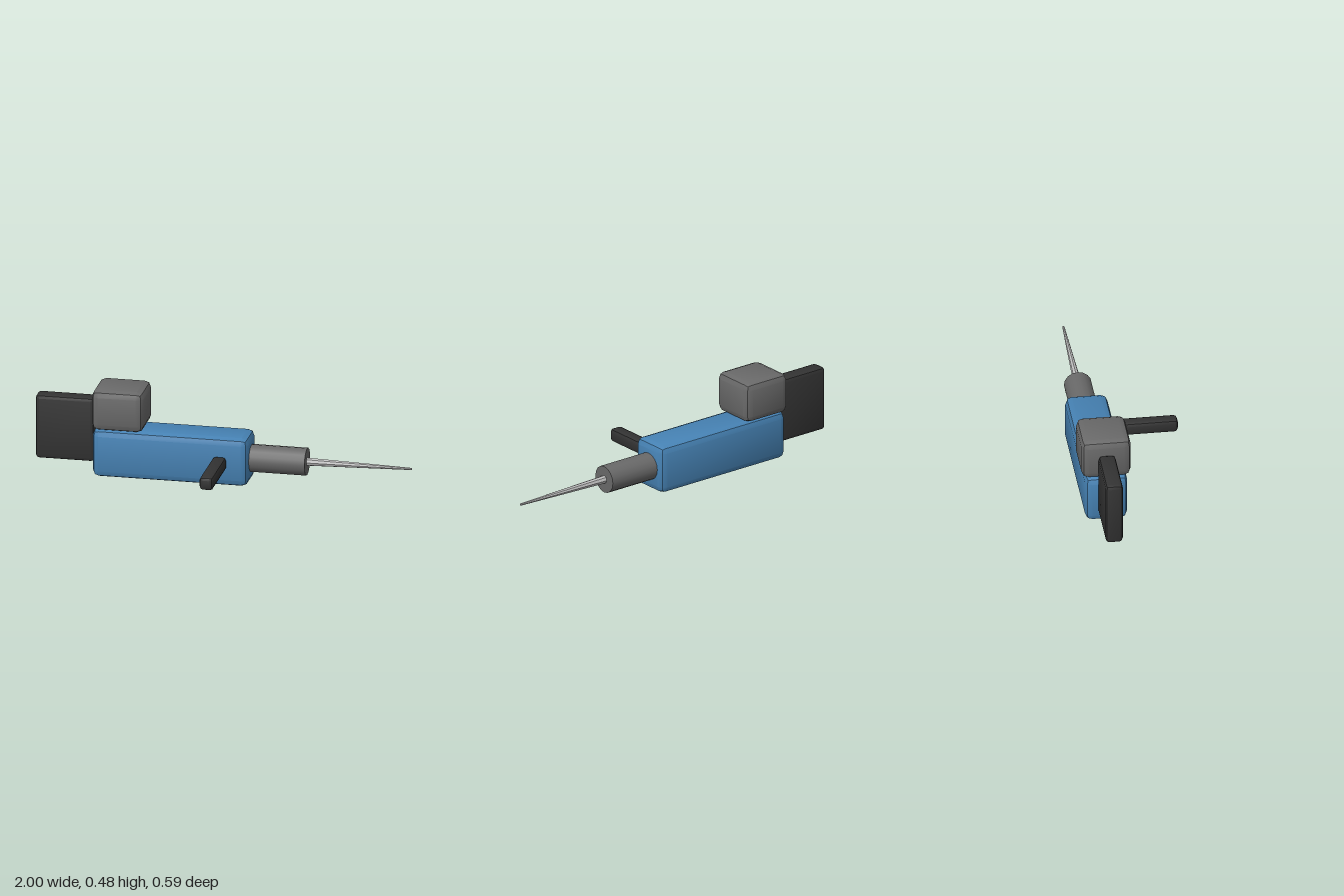
import * as THREE from 'three';
import { toCreasedNormals } from 'three/addons/utils/BufferGeometryUtils.js';

const paint = (name, color) => {
  const m = new THREE.MeshStandardMaterial({ color });
  m.name = name;
  return m;
};

// Box with two-step bevels, given by its limits on each axis
function bevelBox([x0, x1], [y0, y1], [z0, z1], r) {
  const half = new THREE.Vector3(x1 - x0, y1 - y0, z1 - z0).multiplyScalar(0.5);
  const geo = new THREE.BoxGeometry(1, 1, 1, 3, 3, 3);
  const pos = geo.attributes.position;
  const p = new THREE.Vector3(), dir = new THREE.Vector3();
  for (let i = 0; i < pos.count; i++) {
    p.fromBufferAttribute(pos, i);
    // Outer grid lines point outward, inner ones stay on the flat face
    dir.set(...p.toArray().map(v => (Math.abs(v) > 0.4 ? Math.sign(v) : 0))).normalize();
    p.set(...['x', 'y', 'z'].map(k => Math.sign(p[k]) * (half[k] - r) + dir[k] * r));
    pos.setXYZ(i, p.x, p.y, p.z);
  }
  geo.translate((x0 + x1) / 2, (y0 + y1) / 2, (z0 + z1) / 2);
  return toCreasedNormals(geo, Math.PI / 6);
}

// Round bar along x on the barrel axis
function bar(x0, x1, r0, r1, sides) {
  const geo = new THREE.CylinderGeometry(r1, r0, x1 - x0, sides);
  geo.rotateZ(-Math.PI / 2);
  geo.translate((x0 + x1) / 2, 0.131, -0.167);
  return geo;
}

export function createModel() {
  const model = new THREE.Group();
  const blue = paint('steel blue', 0x4682b4);
  const grey = paint('grey', 0x696969);
  const dark = paint('charcoal', 0x333333);
  const silver = paint('silver', 0xc0c0c0);

  const add = (name, geo, mat) => {
    const mesh = new THREE.Mesh(geo, mat);
    mesh.name = name;
    model.add(mesh);
  };

  // Main housing with the block on top and the plate behind
  add('body', bevelBox([-0.685, 0.145], [0, 0.262], [-0.278, -0.055], 0.036), blue);
  add('topBlock', bevelBox([-0.685, -0.41], [0.262, 0.482], [-0.297, -0.037], 0.036), grey);
  add('rearPlate', bevelBox([-1, -0.686], [0.06, 0.41], [-0.213, -0.123], 0.02), dark);

  // Side handle
  add('sideHandle', bevelBox([-0.036, 0.036], [0.095, 0.167], [-0.055, 0.297], 0.018), dark);

  // Barrel and tapered faceted bit
  add('barrel', bar(0.14, 0.442, 0.073, 0.073, 16), grey);
  add('bit', toCreasedNormals(bar(0.44, 1, 0.022, 0.006, 8), 0.3), silver);

  return model;
}
